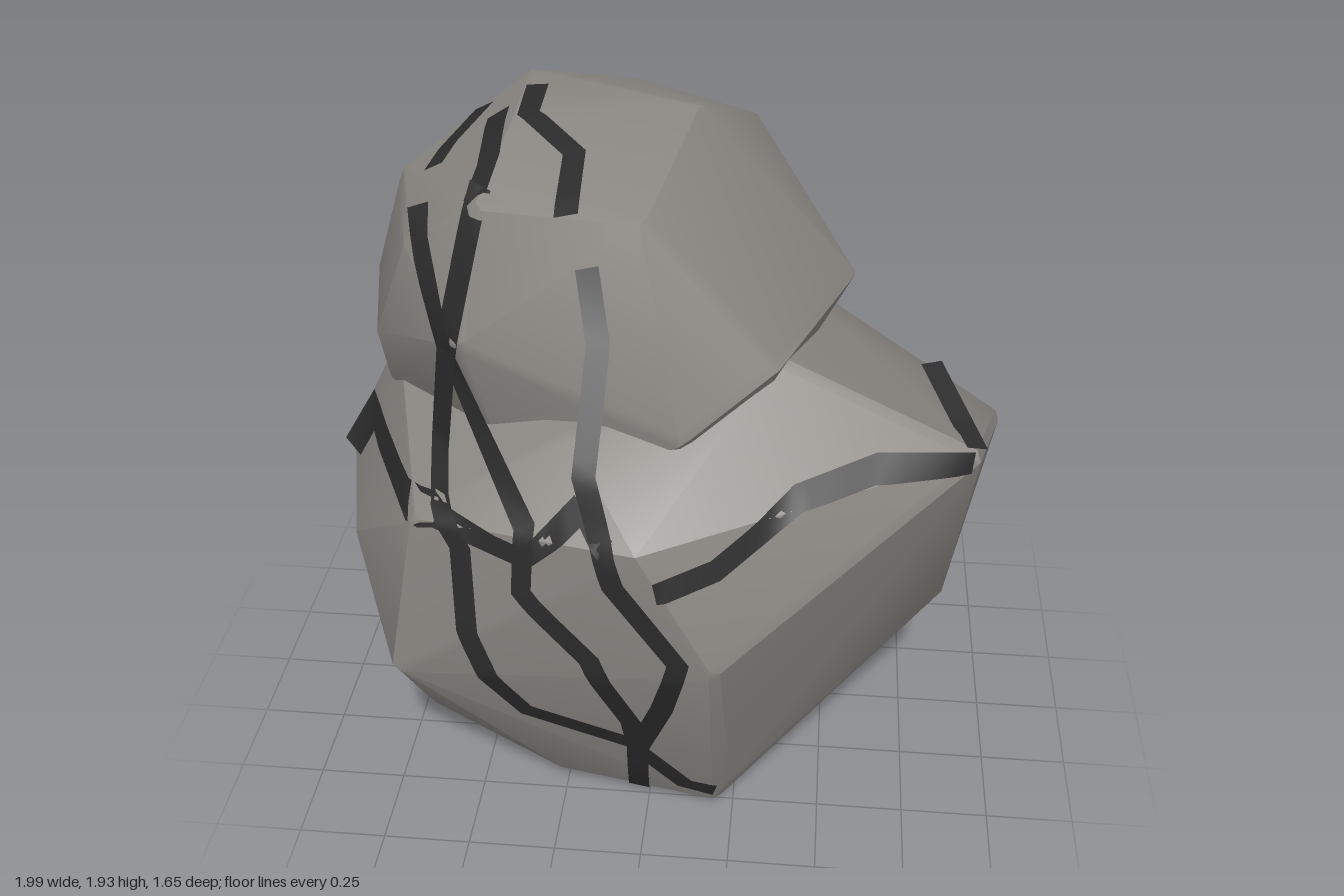
import * as THREE from 'three';
import { ConvexGeometry } from 'three/addons/geometries/ConvexGeometry.js';
import { toCreasedNormals } from 'three/addons/utils/BufferGeometryUtils.js';

const stone = new THREE.MeshStandardMaterial({ color: 0x8a8782 });
const dark = new THREE.MeshStandardMaterial({ color: 0x2b2b2b, side: THREE.DoubleSide });

// Corner points of the large lower boulder
const lowerCorners = [
  // underside
  [-0.63, 0.02, 0.02], [-0.28, 0.05, 0.46], [0.2, 0.02, 0.52], [0.55, 0.02, -0.05], [0.2, 0.02, -0.47], [-0.35, 0.02, -0.47],
  // lower ring
  [0.77, 0.32, -0.36], [0.57, 0.34, -0.63], [0.3, 0.2, -0.67], [-0.4, 0.28, -0.66], [-0.7, 0.4, -0.53],
  [-0.83, 0.2, 0.1], [-0.67, 0.25, 0.42], [0.22, 0.1, 0.55],
  // widest ring
  [0.2, 0.75, 0.82], [0.84, 0.54, 0.12], [1, 0.89, -0.33], [0.7, 0.93, -0.61], [0.28, 0.68, -0.83],
  [-0.47, 1.05, -0.83], [-0.88, 1.04, -0.52], [-1, 0.8, -0.23], [-0.89, 0.74, 0.25], [-0.7, 0.56, 0.64],
  // shoulder
  [0.88, 1.17, 0.35], [0.33, 1.43, 0.33], [0, 1.1, 0.8], [-0.62, 1.04, 0.6], [-0.81, 1.19, -0.1],
  [0.2, 1.27, -0.66], [0.5, 1.25, -0.2], [-0.2, 1.29, 0.55],
];

// Corner points of the smaller boulder resting on top
const upperCorners = [
  // hidden base
  [-0.4, 1, 0.35], [0.2, 1, 0.2], [-0.3, 1, -0.5], [-0.8, 1.12, 0.02], [0.35, 1.18, -0.35], [0, 1.18, -0.73],
  // widest ring
  [0.1, 1.3, 0.57], [0.33, 1.43, 0.4], [0.53, 1.43, -0.18], [0.27, 1.28, -0.58], [0, 1.3, -0.76], [-0.54, 1.5, -0.71],
  [-0.72, 1.3, -0.56], [-0.88, 1.36, -0.25], [-0.82, 1.3, 0.06], [-0.5, 1.48, 0.44],
  // crown
  [-0.78, 1.68, -0.2], [-0.68, 1.66, 0.2], [-0.02, 1.82, 0.37], [-0.46, 1.81, 0.3], [0.08, 1.94, -0.14],
  [-0.42, 1.91, -0.05], [-0.43, 1.9, -0.47], [-0.17, 1.82, -0.64], [0.22, 1.73, -0.6],
];

// Convex boulder whose edges are rounded by a small ball at every corner
function boulder(name, corners, center, round = 0.034) {
  const ball = new THREE.IcosahedronGeometry(round, 0).getAttribute('position');
  const mid = new THREE.Vector3(...center);
  const points = [];
  for (const c of corners) {
    const p = new THREE.Vector3(...c);
    const inward = mid.clone().sub(p).setLength(round);
    for (let i = 0; i < ball.count; i++) {
      points.push(new THREE.Vector3().fromBufferAttribute(ball, i).add(p).add(inward));
    }
  }
  const mesh = new THREE.Mesh(toCreasedNormals(new ConvexGeometry(points), 0.45), stone);
  mesh.name = name;
  return mesh;
}

// Each side maps a flat path (a, b) and height h to space, and back to h
const sides = {
  front: { place: (a, b, h) => new THREE.Vector3(a, b, h), height: p => p.z },
  top: { place: (a, b, h) => new THREE.Vector3(a, h, b), height: p => p.y },
  bottom: { place: (a, b, h) => new THREE.Vector3(a, -h, b), height: p => -p.y },
};

// Ribbon laid on the boulders along a flat path; it spans hollows in straight lines.
// A third number in a path point sets its height where the ribbon hangs free.
function crack(path, side, rocks, width = 0.062, steps = 7) {
  const { place, height } = sides[side];
  const pts = path.map(p => new THREE.Vector2(p[0], p[1]));
  const direction = place(0, 0, -1);
  const ray = new THREE.Raycaster();
  const surface = (q) => {
    ray.set(place(q.x, q.y, 4), direction);
    const hit = ray.intersectObjects(rocks, false)[0];
    return hit ? height(hit.point) + 0.01 : -Infinity;
  };
  // edge points and height at the bends
  const bends = pts.map((p, i) => {
    const along = pts[Math.min(i + 1, pts.length - 1)].clone().sub(pts[Math.max(i - 1, 0)]).normalize();
    const across = new THREE.Vector2(-along.y, along.x).multiplyScalar(width / 2);
    const edge = [p.clone().add(across), p.clone().sub(across)];
    const middle = path[i][2] ?? surface(p);
    const h = edge.map(q => path[i][2] ?? Math.max(surface(q), middle - 0.06));
    return { edge, h };
  });
  const positions = [], index = [];
  for (let i = 0; i < bends.length - 1; i++) {
    const [from, to] = [bends[i], bends[i + 1]];
    for (let s = i ? 1 : 0; s <= steps; s++) {
      for (const k of [0, 1]) {
        const q = from.edge[k].clone().lerp(to.edge[k], s / steps);
        const span = THREE.MathUtils.lerp(from.h[k], to.h[k], s / steps);
        positions.push(...place(q.x, q.y, Math.max(span, surface(q))).toArray());
      }
      const n = positions.length / 3;
      if (n > 2) index.push(n - 4, n - 3, n - 2, n - 3, n - 1, n - 2);
    }
  }
  const geometry = new THREE.BufferGeometry();
  geometry.setAttribute('position', new THREE.Float32BufferAttribute(positions, 3));
  geometry.setIndex(index);
  geometry.computeVertexNormals();
  const mesh = new THREE.Mesh(geometry, dark);
  mesh.name = side + 'Crack';
  return mesh;
}

const crackPaths = {
  // (x, y)
  front: [
    [[-0.65, 1.74, 0.14], [-0.53, 1.4], [-0.3, 1.1], [-0.31, 0.92], [-0.13, 0.73], [-0.03, 0.45], [-0.02, 0.3], [0.11, 0.12], [0.2, 0.1]],
    [[-0.46, 1.84, 0.2], [-0.54, 1.45], [-0.58, 1.15], [-0.48, 1], [-0.47, 0.75], [-0.42, 0.6], [-0.33, 0.44], [-0.03, 0.33]],
    [[-0.16, 1.71], [-0.12, 1.55, 0.52], [-0.14, 1.27, 0.7], [-0.06, 1], [0.11, 0.77], [0.06, 0.55], [-0.02, 0.3], [-0.03, 0.04, 0.5]],
    [[-0.96, 0.84, -0.06], [-0.88, 0.98], [-0.56, 1.07], [-0.3, 1.02], [-0.16, 1.16], [-0.08, 1.1]],
    [[0.05, 1], [0.2, 1.03], [0.4, 1.16], [0.6, 1.19], [0.86, 1.165, 0.37]],
  ],
  // (x, z)
  top: [
    [[-0.55, -0.32], [-0.65, -0.06]],
    [[-0.39, -0.3], [-0.38, -0.08], [-0.23, 0.1], [-0.22, 0.34]],
    [[-0.48, -0.17], [-0.46, 0.1], [-0.47, 0.25]],
    [[0.75, 0.05, 1.28], [0.87, 0.34, 1.18]],
  ],
  // (x, z)
  bottom: [
    [[0, 0.46], [0.04, 0.33]],
    [[0.16, 0.48], [0.23, 0.4], [0.2, 0.28]],
  ],
};

export function createModel() {
  const group = new THREE.Group();
  group.name = 'crackedBoulders';
  const rocks = [
    boulder('lowerBoulder', lowerCorners, [0, 0.7, 0]),
    boulder('upperBoulder', upperCorners, [-0.18, 1.45, -0.1]),
  ];
  group.add(...rocks);

  // Dark cracks draped over the stone
  const cracks = new THREE.Group();
  cracks.name = 'cracks';
  for (const [side, paths] of Object.entries(crackPaths)) {
    for (const path of paths) cracks.add(crack(path, side, rocks));
  }
  group.add(cracks);
  return group;
}
